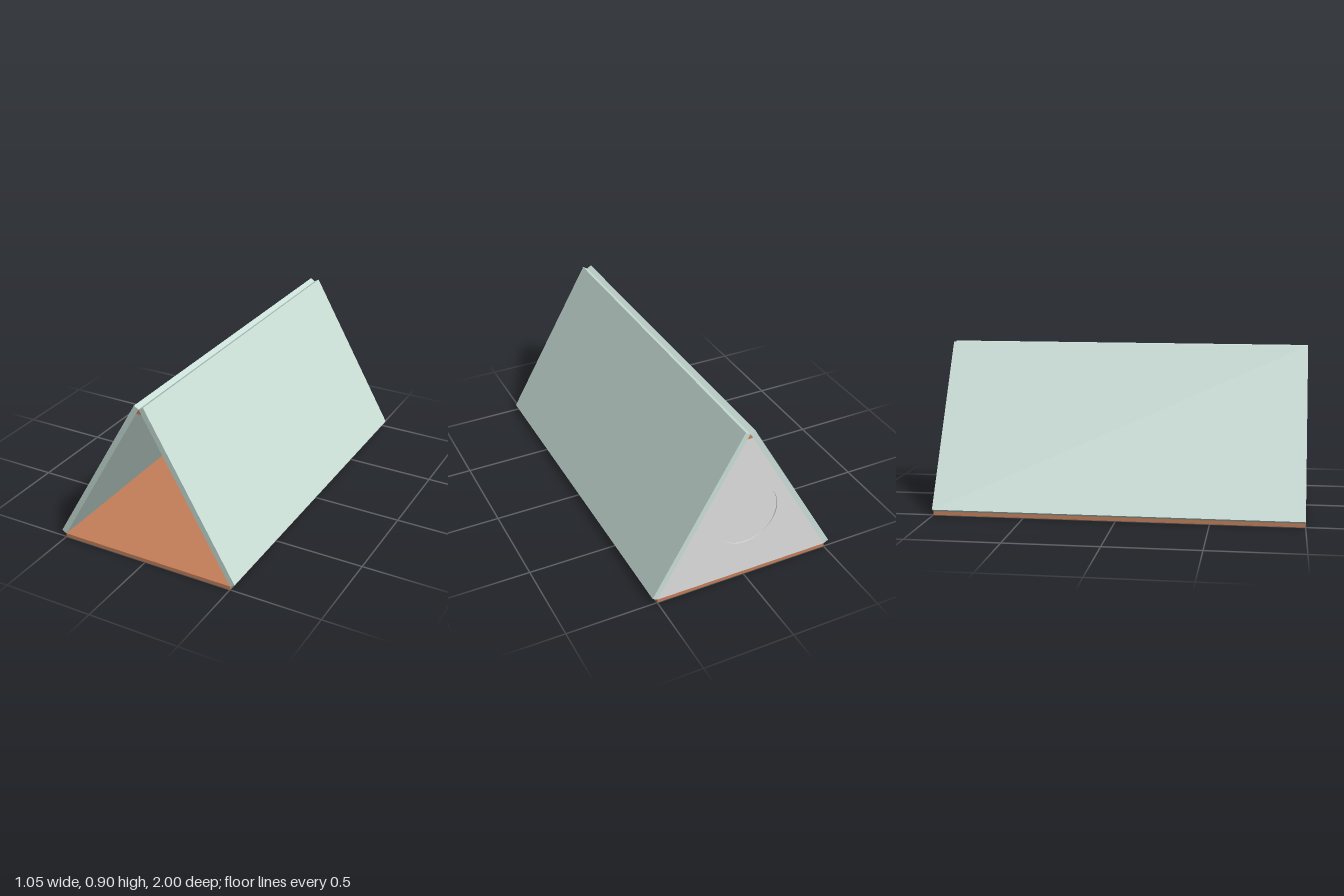
import * as THREE from 'three';

const mat = (name, color) => {
  const m = new THREE.MeshStandardMaterial({ color });
  m.name = name;
  return m;
};

const FLOOR = 0.02, APEX = 0.886, HALF = 0.5, LENGTH = 2;
const WINDOW_Y = 0.397, WINDOW_R = 0.181;

// half the inside width of the A-frame at a height
const halfWidth = (y) => HALF * (APEX - y) / (APEX - FLOOR);

const polygon = (points) => new THREE.Shape(points.map(([x, y]) => new THREE.Vector2(x, y)));

// slice of the triangular interior between two heights
const slice = (y0, y1) => {
  const a = halfWidth(y0), b = halfWidth(y1);
  return polygon(b > 1e-6 ? [[-a, y0], [a, y0], [b, y1], [-b, y1]] : [[-a, y0], [a, y0], [0, y1]]);
};

export function createModel() {
  const group = new THREE.Group();
  const mint = mat('paleMint', 0xc9ded6);
  const copper = mat('copperWood', 0xc47e59);
  const teal = mat('teal', 0x7ab9bb);
  const grey = mat('lightGrey', 0xdddddd);

  // extrude a front outline from z0 towards the front
  const add = (name, shape, z0, depth, material) => {
    const geometry = new THREE.ExtrudeGeometry(shape, { depth, bevelEnabled: false, curveSegments: 32 });
    geometry.translate(0, 0, z0);
    const mesh = new THREE.Mesh(geometry, material);
    mesh.name = name;
    group.add(mesh);
  };

  // floor board
  const floor = new THREE.Mesh(new THREE.BoxGeometry(2 * HALF, FLOOR, LENGTH), copper);
  floor.name = 'floor';
  floor.position.y = FLOOR / 2;
  group.add(floor);

  // two leaning roof panels, meeting along their inner top edges
  for (const s of [-1, 1]) {
    add(s > 0 ? 'leftRoofPanel' : 'rightRoofPanel',
      polygon([[s * HALF, FLOOR], [s * 0.526, 0.035], [s * 0.026, 0.901], [0, APEX]]),
      -1, LENGTH, mint);
  }

  // ridge bar under the peak and cross ties below it
  add('ridgeBar', slice(0.86, APEX), -1, LENGTH, copper);
  for (const z of [-0.5, 0, 0.5]) add('crossTie', slice(0.765, 0.785), z - 0.01, 0.02, copper);

  // back wall with a round opening: grey outside, teal lining inside
  const wall = slice(FLOOR, 0.86);
  wall.holes.push(new THREE.Path().absarc(0, WINDOW_Y, WINDOW_R, 0, Math.PI * 2, true));
  add('backWall', wall, -1, 0.015, grey);
  add('backWallLining', wall, -0.985, 0.005, teal);

  // round window pane, set slightly into the opening
  const pane = new THREE.Shape().absarc(0, WINDOW_Y, WINDOW_R, 0, Math.PI * 2, false);
  add('windowPane', pane, -0.995, 0.012, grey);

  return group;
}
